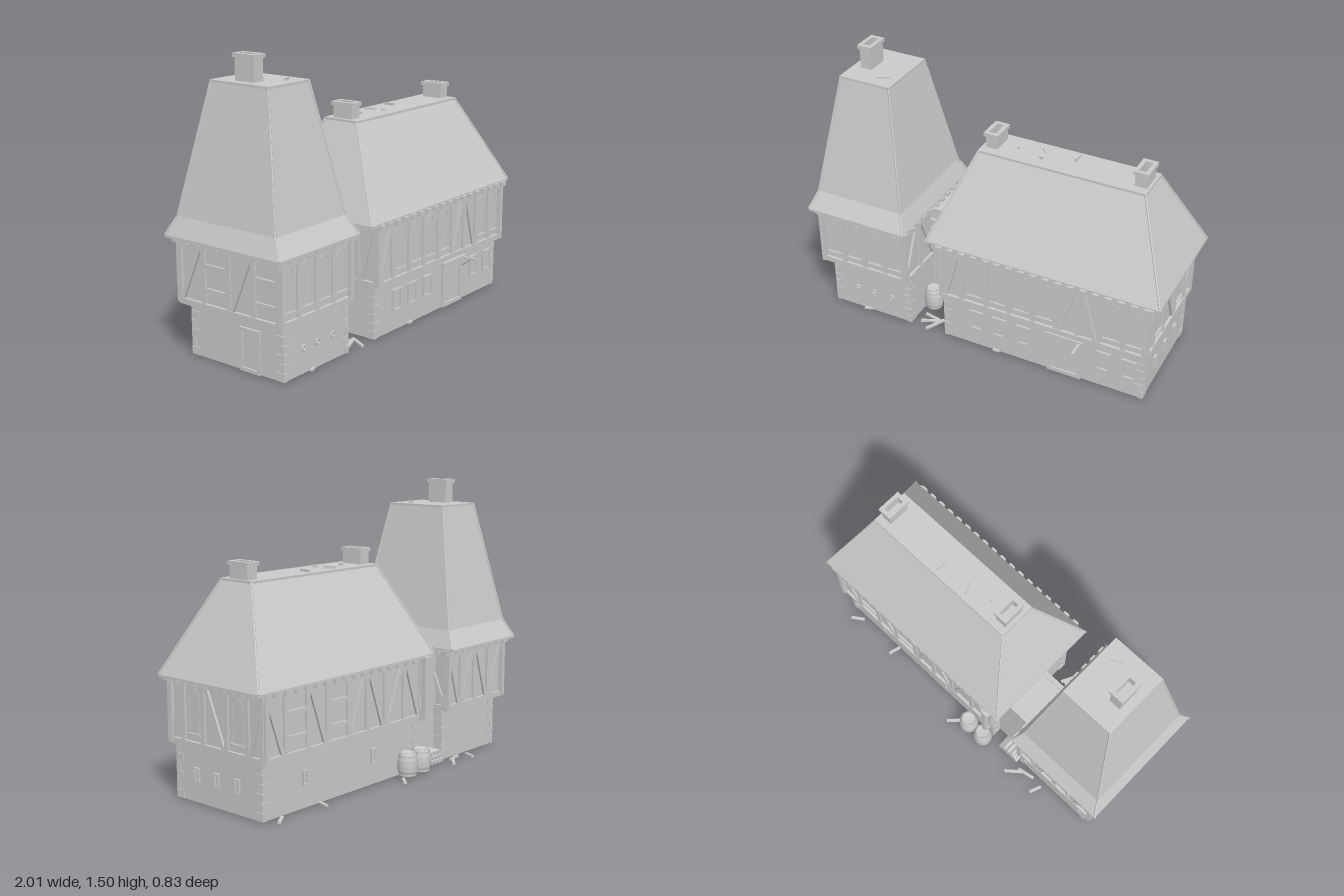
import * as THREE from 'three';

const mat = new THREE.MeshStandardMaterial({ color: 0xcccccc, flatShading: true, side: THREE.DoubleSide });
const smooth = new THREE.MeshStandardMaterial({ color: 0xcccccc, side: THREE.DoubleSide });

function add(parent, name, geo, x = 0, y = 0, z = 0, m = mat) {
  const mesh = new THREE.Mesh(geo, m);
  mesh.name = name;
  mesh.position.set(x, y, z);
  parent.add(mesh);
  return mesh;
}
const box = (parent, name, w, h, d, x, y, z) => add(parent, name, new THREE.BoxGeometry(w, h, d), x, y, z);

// Shell through rectangular rings [x0, x1, z0, z1, y], optionally closed at the top
function loft(rings, cap = false) {
  const pos = [];
  const corners = ([x0, x1, z0, z1, y]) => [[x0, y, z1], [x1, y, z1], [x1, y, z0], [x0, y, z0]];
  const quad = (a, b, c, d) => pos.push(...a, ...b, ...c, ...a, ...c, ...d);
  for (let i = 0; i + 1 < rings.length; i++) {
    const lo = corners(rings[i]), hi = corners(rings[i + 1]);
    for (let k = 0; k < 4; k++) quad(lo[k], lo[(k + 1) % 4], hi[(k + 1) % 4], hi[k]);
  }
  if (cap) quad(...corners(rings[rings.length - 1]));
  const g = new THREE.BufferGeometry();
  g.setAttribute('position', new THREE.Float32BufferAttribute(pos, 3));
  g.computeVertexNormals();
  return g;
}

// Group on one wall of a rectangle: local x runs along the wall, local z points outwards
function face(parent, side, [x0, x1, z0, z1]) {
  const g = new THREE.Group();
  g.name = side + 'Wall';
  const [x, z, r] = { front: [0, z1, 0], right: [x1, 0, 1], back: [0, z0, 2], left: [x0, 0, -1] }[side];
  g.position.set(x, 0, z);
  g.rotation.y = r * Math.PI / 2;
  parent.add(g);
  return g;
}

// Straight timber between two points of a wall
function beam(wall, name, x0, y0, x1, y1, w = 0.022, d = 0.024) {
  const m = box(wall, name, w, Math.hypot(x1 - x0, y1 - y0), d, (x0 + x1) / 2, (y0 + y1) / 2, 0);
  m.rotation.z = -Math.atan2(x1 - x0, y1 - y0);
  return m;
}

function strut(parent, name, a, b, r) {
  const p = new THREE.Vector3(...a), q = new THREE.Vector3(...b), d = q.clone().sub(p);
  const m = add(parent, name, new THREE.CylinderGeometry(r, r, d.length(), 6));
  m.position.copy(p).add(q).multiplyScalar(0.5);
  m.quaternion.setFromUnitVectors(new THREE.Vector3(0, 1, 0), d.normalize());
}

function archPath(path, r, y0, spring) {
  path.moveTo(-r, y0);
  path.lineTo(r, y0);
  path.lineTo(r, spring);
  path.absarc(0, spring, r, 0, Math.PI, false);
  path.lineTo(-r, y0);
  return path;
}

function archFrame(wall, name, x, r, t, y0, spring, depth, z) {
  const s = archPath(new THREE.Shape(), r, y0, spring);
  s.holes.push(archPath(new THREE.Path(), r - t, y0 + t, spring));
  add(wall, name, new THREE.ExtrudeGeometry(s, { depth, bevelEnabled: false, curveSegments: 8 }), x, 0, z);
}

// Square window or door: raised frame around a pane
function frame(wall, name, x, y, w, h, t = 0.012) {
  for (const s of [-1, 1]) {
    box(wall, name + 'Jamb', t, h, 0.016, x + s * (w - t) / 2, y + h / 2, 0.004);
    box(wall, name + 'Rail', w, t, 0.016, x, y + h / 2 + s * (h - t) / 2, 0.004);
  }
  box(wall, name + 'Pane', w - t, h - t, 0.006, x, y + h / 2, 0);
}

// Timber framing of one upper wall: a post at every edge, one letter per bay
function timber(wall, edges, kinds) {
  const lo = 0.285, hi = 0.6, first = edges[0], last = edges[edges.length - 1];
  beam(wall, 'sillBeam', first, 0.295, last, 0.295, 0.03, 0.03);
  beam(wall, 'topBeam', first, 0.595, last, 0.595, 0.022, 0.026);
  edges.forEach(x => beam(wall, 'post', x, lo, x, hi, 0.026));
  [...kinds].forEach((kind, i) => {
    const a = edges[i] + 0.02, b = edges[i + 1] - 0.02, c = (a + b) / 2;
    if (kind === '/') beam(wall, 'brace', a, lo + 0.02, b, hi - 0.01);
    if (kind === '\\') beam(wall, 'brace', b, lo + 0.02, a, hi - 0.01);
    if (kind === 'w') {
      archFrame(wall, 'archedWindow', c, 0.038, 0.008, 0.345, 0.53, 0.014, -0.012);
      box(wall, 'windowSill', 0.09, 0.01, 0.022, c, 0.345, 0);
    }
    if (kind === 'p') for (const y of [0.38, 0.5]) beam(wall, 'panelRail', a - 0.01, y, b + 0.01, y, 0.02);
  });
  const n = Math.round((last - first) / 0.066);
  for (let i = 0; i <= n; i++) box(wall, 'joistEnd', 0.034, 0.026, 0.045, first + (last - first) * i / n, 0.605, 0.012);
}

function chimney(parent, x, y, h) {
  const z0 = -0.06, z1 = 0.065, r = (e, yy) => [x - 0.035 - e, x + 0.035 + e, z0 - e, z1 + e, yy];
  const t = y + h;
  add(parent, 'chimney', loft([r(-0.003, y - 0.01), r(-0.003, t - 0.02), r(0.005, t - 0.02), r(0.005, t),
    r(-0.016, t), r(-0.016, t - 0.06)], true));
}

// One house block: stone ground floor, overhanging timber storey and hipped roof
function house(name, low, up, roof, framing) {
  const g = new THREE.Group();
  g.name = name;
  const inner = [up[0] + 0.012, up[1] - 0.012, up[2] + 0.012, up[3] - 0.012];
  add(g, 'stoneWalls', loft([[...low, 0.005], [...low, 0.28]]));
  add(g, 'upperWalls', loft([[...low, 0.28], [...inner, 0.28], [...inner, 0.615]]));
  add(g, 'roof', loft([[...inner, 0.615], [...roof[0].slice(0, 4), 0.612], ...roof], true));
  // Hip and ridge trims
  for (const i of [0, 1]) for (const j of [2, 3]) for (let k = 0; k + 1 < roof.length; k++) {
    const p = roof[k], q = roof[k + 1];
    strut(g, 'hipTrim', [p[i], p[4], p[j]], [q[i], q[4], q[j]], 0.006);
  }
  const top = roof[roof.length - 1];
  box(g, 'roofCap', top[1] - top[0] + 0.008, 0.012, top[3] - top[2] + 0.008,
    (top[0] + top[1]) / 2, top[4], (top[2] + top[3]) / 2);
  for (const side in framing) timber(face(g, side, inner), ...framing[side]);
  // Corner stones, alternately long and short
  for (const x of [low[0], low[1]]) for (const z of [low[2], low[3]]) for (let i = 0; i < 6; i++) {
    const l = i % 2 ? 0.05 : 0.026, m = i % 2 ? 0.026 : 0.05;
    const sx = x === low[0] ? 1 : -1, sz = z === low[2] ? 1 : -1;
    box(g, 'cornerStone', l, 0.042, m, x + sx * (l / 2 - 0.005), 0.027 + i * 0.046, z + sz * (m / 2 - 0.005));
  }
  return g;
}

function barrel(parent, x, z) {
  const g = new THREE.Group();
  g.name = 'barrel';
  g.position.set(x, 0.005, z);
  const pts = [[0, 0], [0.04, 0], [0.051, 0.035], [0.054, 0.065], [0.051, 0.095], [0.041, 0.132], [0.035, 0.132], [0.035, 0.125], [0, 0.125]];
  add(g, 'staves', new THREE.LatheGeometry(pts.map(p => new THREE.Vector2(...p)), 18), 0, 0, 0, smooth);
  for (const [y, r] of [[0.018, 0.048], [0.045, 0.054], [0.085, 0.054], [0.115, 0.048]])
    add(g, 'hoop', new THREE.CylinderGeometry(r, r, 0.009, 18, 1, true), 0, y, 0, smooth);
  parent.add(g);
}

export function createModel() {
  const root = new THREE.Group();
  root.name = 'timberedHouse';

  // Main hall
  const hallLow = [-0.21, 0.93, -0.283, 0.305];
  const gable = [[-0.34, -0.24, -0.1, 0.06, 0.2, 0.315], '/w\\w/'];
  const hall = house('hall', hallLow, [-0.215, 0.947, -0.315, 0.34],
    [[-0.29, 1, -0.335, 0.348, 0.625], [-0.1, 0.8, -0.095, 0.108, 1.09]], {
      front: [[-0.21, -0.09, 0.055, 0.185, 0.32, 0.45, 0.57, 0.69, 0.82, 0.94], '/wwww/\\ww'],
      back: [[-0.94, -0.8, -0.65, -0.51, -0.36, -0.22, -0.08, 0.07, 0.21], '\\p\\p/\\/\\'],
      right: gable, left: gable,
    });
  root.add(hall);
  chimney(hall, -0.05, 1.09, 0.09);
  chimney(hall, 0.757, 1.09, 0.09);
  const hallFront = face(hall, 'front', hallLow);
  for (const x of [-0.02, 0.117, 0.26, 0.71, 0.85]) frame(hallFront, 'lowerWindow', x, 0.11, 0.08, 0.12);
  frame(hallFront, 'door', 0.495, 0.005, 0.19, 0.245, 0.022);
  box(hallFront, 'doorLintel', 0.22, 0.02, 0.04, 0.495, 0.255, 0.01);
  const hallRight = face(hall, 'right', hallLow);
  for (const z of [0.16, 0.02, -0.12]) frame(hallRight, 'slitWindow', -z, 0.11, 0.034, 0.07, 0.008);
  const hallBack = face(hall, 'back', hallLow);
  for (const x of [0.65, 0.15]) frame(hallBack, 'slitWindow', -x, 0.12, 0.034, 0.075, 0.008);
  // Bracket arm beside the door
  box(hall, 'bracketArm', 0.014, 0.014, 0.12, 0.585, 0.25, 0.36);
  strut(hall, 'bracketStay', [0.585, 0.2, 0.305], [0.585, 0.245, 0.37], 0.006);
  // Loose pieces on the flat ridge
  [[0.07, 0, 0.3], [0.2, -0.04, 0.5], [0.22, 0.04, 1], [0.38, -0.04, 0]].forEach(([x, z, r], i) => {
    box(hall, 'ridgeStone', 0.012, 0.018, i % 2 ? 0.06 : 0.02, x, 1.1, z).rotation.y = r;
  });

  // Tower
  const towLow = [-0.905, -0.43, -0.283, 0.305];
  const across = [-0.315, -0.15, 0.01, 0.17, 0.335];
  const tower = house('tower', towLow, [-0.96, -0.43, -0.315, 0.335],
    [[-1, -0.418, -0.358, 0.37, 0.625], [-0.962, -0.455, -0.305, 0.315, 0.72], [-0.85, -0.565, -0.17, 0.187, 1.37]], {
      front: [[-0.95, -0.82, -0.69, -0.565, -0.44], 'wwww'],
      back: [[0.44, 0.565, 0.69, 0.82, 0.95], '\\/\\/'],
      left: [across, '/p/p'],
      right: [across.map(u => -u).reverse(), '/\\/\\'],
    });
  root.add(tower);
  add(tower, 'ceiling', new THREE.PlaneGeometry(0.47, 0.58), -0.667, 0.278, 0.011).rotation.x = Math.PI / 2;
  chimney(tower, -0.775, 1.37, 0.135);
  box(tower, 'ridgeStone', 0.07, 0.012, 0.014, -0.64, 1.38, 0.11).rotation.y = 0.5;
  const towFront = face(tower, 'front', towLow);
  for (const x of [-0.765, -0.66, -0.545])
    add(towFront, 'roundVent', new THREE.TorusGeometry(0.013, 0.005, 6, 10), x, 0.135, 0.003);
  frame(face(tower, 'left', towLow), 'towerDoor', 0.1, 0.005, 0.13, 0.22, 0.018);

  // Gate block between tower and hall
  const gate = new THREE.Group();
  gate.name = 'gate';
  root.add(gate);
  const wall = new THREE.Shape([[-0.12, 0.005], [0.13, 0.005], [0.13, 0.6], [-0.12, 0.6]].map(p => new THREE.Vector2(...p)));
  wall.holes.push(archPath(new THREE.Path(), 0.085, 0.006, 0.3));
  add(gate, 'gateWall', new THREE.ExtrudeGeometry(wall, { depth: 0.23, bevelEnabled: false }), -0.33, 0, -0.2);
  box(gate, 'gateBackWall', 0.25, 0.595, 0.03, -0.325, 0.3025, -0.215);
  archFrame(gate, 'gateArch', -0.33, 0.098, 0.016, 0.0, 0.3, 0.02, 0.025);
  for (const y of [0.47, 0.525, 0.602]) box(gate, 'moulding', 0.22, 0.014, 0.025, -0.33, y, 0.035);
  for (let i = 0; i < 4; i++) box(gate, 'step', 0.17, 0.025, 0.05, -0.33, 0.02 + i * 0.025, 0 - i * 0.05);

  // Barrels, log pile and scattered planks
  barrel(root, -0.385, 0.125);
  barrel(root, -0.18, -0.338);
  barrel(root, -0.07, -0.338);
  const pile = new THREE.Group();
  pile.name = 'logPile';
  root.add(pile);
  for (let row = 0; row < 3; row++) for (let i = 0; i < 5 - row; i++)
    strut(pile, 'log', [-0.405 + i * 0.028 + row * 0.014, 0.018 + row * 0.025, -0.31],
      [-0.402 + i * 0.028 + row * 0.014, 0.018 + row * 0.025, -0.235], 0.014);
  const planks = [[-0.33, 0.25, 0.4, 0.12], [-0.3, 0.27, 1.1, 0.12], [-0.34, 0.22, -0.2, 0.1], [-0.6, -0.35, 1.2, 0.07],
    [-0.44, -0.36, 0.7, 0.1], [-0.5, -0.32, 0.2, 0.1], [0.01, -0.38, 0.8, 0.08], [0.86, -0.33, 0.6, 0.08],
    [0.56, -0.32, 1.3, 0.07], [-0.7, 0.31, 0.3, 0.05], [0.1, 0.31, 0.1, 0.04]];
  planks.forEach(([x, z, r, l]) => { box(root, 'loosePlank', l, 0.01, 0.016, x, 0.01, z).rotation.y = r; });
  return root;
}
